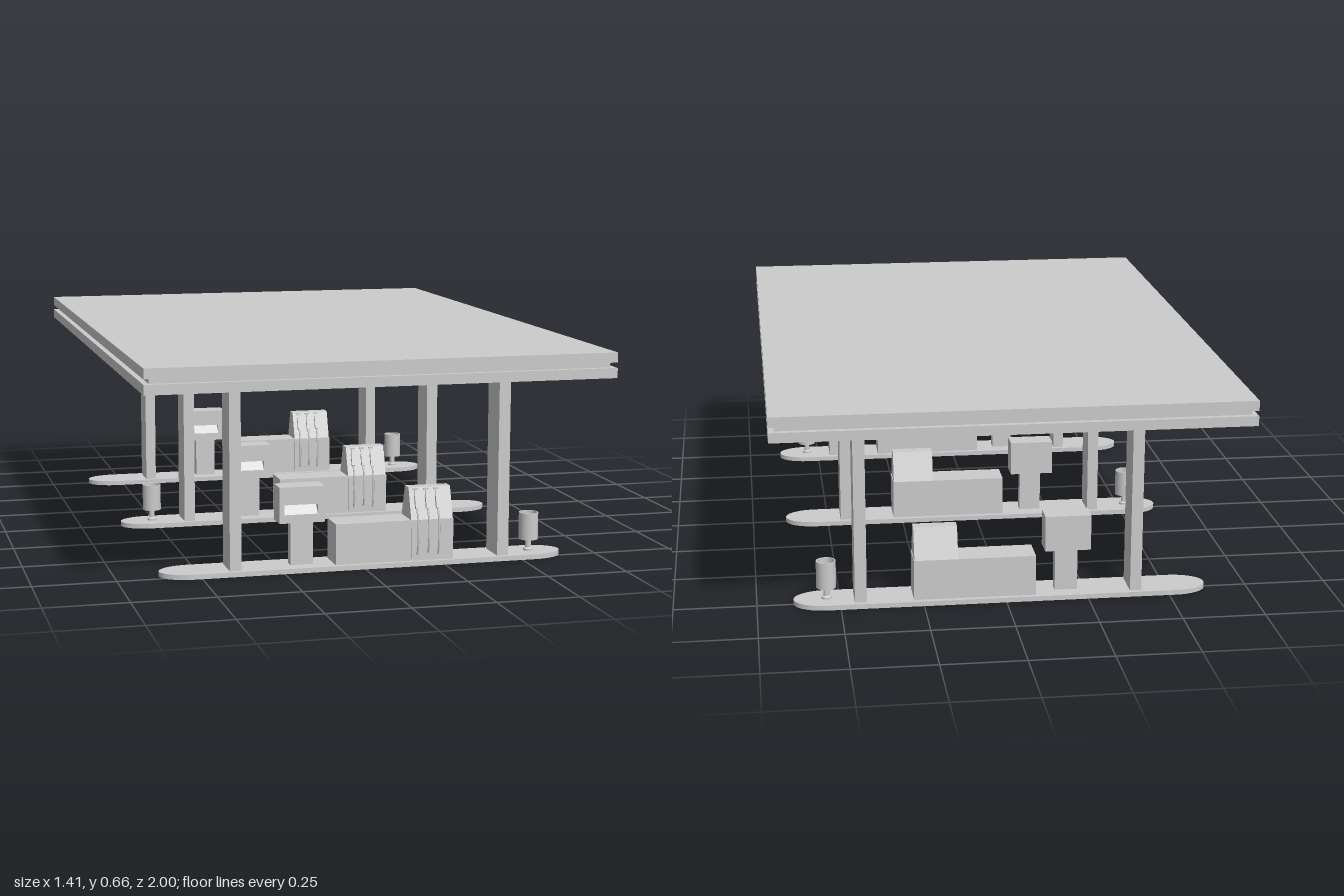
import * as THREE from 'three';

const mat = new THREE.MeshStandardMaterial({ color: 0xcccccc });
const matOpen = new THREE.MeshStandardMaterial({ color: 0xcccccc, side: THREE.DoubleSide });

function add(parent, name, geometry, x = 0, y = 0, z = 0, material = mat) {
  const mesh = new THREE.Mesh(geometry, material);
  mesh.name = name;
  mesh.position.set(x, y, z);
  parent.add(mesh);
  return mesh;
}

// Box given by its limits in x and y, and its depth about z
function block(parent, name, x0, x1, y0, y1, depth, z = 0) {
  return add(parent, name, new THREE.BoxGeometry(x1 - x0, y1 - y0, depth), (x0 + x1) / 2, (y0 + y1) / 2, z);
}

// Outline in (z, y) extruded along x from x0 to x1
function sideProfile(parent, name, points, x0, x1) {
  const shape = new THREE.Shape(points.map(([z, y]) => new THREE.Vector2(-z, y)));
  const geo = new THREE.ExtrudeGeometry(shape, { depth: x1 - x0, bevelEnabled: false });
  geo.rotateY(Math.PI / 2);
  return add(parent, name, geo, x0, 0, 0);
}

const BASE = 0.015;

// Long kerb with rounded ends
function kerb(parent) {
  const s = new THREE.Shape();
  s.moveTo(-0.52, -0.065);
  s.lineTo(0.54, -0.065);
  s.absellipse(0.54, 0, 0.1, 0.065, -Math.PI / 2, Math.PI / 2, false);
  s.lineTo(-0.52, 0.065);
  s.absellipse(-0.52, 0, 0.1, 0.065, Math.PI / 2, Math.PI * 1.5, false);
  const geo = new THREE.ExtrudeGeometry(s, { depth: BASE, bevelEnabled: false, curveSegments: 16 });
  geo.rotateX(-Math.PI / 2);
  add(parent, 'kerb', geo);
}

// Pump cabinet with tapered head, nozzles and hoses on the front
function pump(parent) {
  const g = new THREE.Group();
  g.name = 'pump';
  parent.add(g);
  block(g, 'lowCabinet', -0.09, 0.28, BASE, 0.14, 0.1);
  sideProfile(g, 'pumpHead', [[0.05, 0.14], [0.018, 0.235], [-0.018, 0.235], [-0.05, 0.14]], 0.146, 0.278);
  block(g, 'cabinetSeam', 0.146, 0.151, 0.022, 0.132, 0.006, 0.051);
  const tilt = -Math.atan2(0.032, 0.095);
  [0.166, 0.2, 0.232].forEach((x, i) => {
    block(g, 'nozzleHook', x - 0.008, x + 0.008, 0.227, 0.232, 0.008, 0.021);
    const nozzle = block(g, 'nozzle', x - 0.005, x + 0.005, 0.172, 0.212, 0.012, 0.036);
    nozzle.rotation.x = tilt;
    const spout = block(g, 'nozzleSpout', x - 0.003, x + 0.003, 0.205, 0.226, 0.006, 0.027);
    spout.rotation.x = tilt;
    const low = 0.032 + (i % 2) * 0.006;
    const path = new THREE.CatmullRomCurve3([
      [x, 0.178, 0.041], [x, 0.145, 0.056], [x, 0.1, 0.06], [x, 0.06, 0.058], [x, low, 0.05],
    ].map((p) => new THREE.Vector3(...p)));
    add(g, 'hose', new THREE.TubeGeometry(path, 16, 0.003, 6));
  });
}

// Pay kiosk: post, head with a sloping recess in the front
function kiosk(parent) {
  const g = new THREE.Group();
  g.name = 'payKiosk';
  parent.add(g);
  block(g, 'kioskPost', -0.222, -0.153, BASE, 0.147, 0.035);
  block(g, 'kioskHead', -0.26, -0.12, 0.147, 0.257, 0.045, -0.0125);
  const face = new THREE.Shape();
  face.moveTo(-0.26, 0.147);
  face.lineTo(-0.12, 0.147);
  face.lineTo(-0.12, 0.257);
  face.lineTo(-0.26, 0.257);
  const hole = new THREE.Path();
  hole.moveTo(-0.245, 0.173);
  hole.lineTo(-0.245, 0.203);
  hole.lineTo(-0.142, 0.203);
  hole.lineTo(-0.142, 0.173);
  face.holes.push(hole);
  add(g, 'kioskFace', new THREE.ExtrudeGeometry(face, { depth: 0.025, bevelEnabled: false }), 0, 0, 0.01);
  sideProfile(g, 'recessSlope', [[0.035, 0.173], [0.01, 0.203], [0.01, 0.173]], -0.245, -0.142);
}

// Open litter bin on a small foot
function bin(parent, x) {
  const profile = [
    [0, 0], [0.015, 0], [0.015, 0.006], [0.009, 0.01], [0.009, 0.036], [0.03, 0.036],
    [0.03, 0.12], [0.026, 0.12], [0.026, 0.045], [0, 0.045],
  ];
  // doubled corners keep the edges crisp
  const pts = profile.flatMap(([r, y]) => [new THREE.Vector2(r, y), new THREE.Vector2(r, y)]);
  const g = new THREE.Group();
  g.name = 'litterBin';
  g.position.set(x, BASE, 0);
  parent.add(g);
  for (let i = 1; i < pts.length - 1; i += 2) {
    add(g, 'binSurface', new THREE.LatheGeometry([pts[i], pts[i + 1]], 20), 0, 0, 0, matOpen);
  }
}

export function createModel() {
  const model = new THREE.Group();
  model.name = 'fuelStation';

  // Roof: two slabs with a recessed band between
  block(model, 'roofLowerSlab', -0.705, 0.705, 0.587, 0.617, 2);
  block(model, 'roofBand', -0.688, 0.688, 0.617, 0.633, 1.966);
  block(model, 'roofUpperSlab', -0.705, 0.705, 0.633, 0.663, 2);

  // Three islands, the middle bin at the opposite end
  [[0.72, 0.541], [0.003, -0.516], [-0.747, 0.541]].forEach(([z, binX]) => {
    const island = new THREE.Group();
    island.name = 'island';
    island.position.z = z;
    model.add(island);
    kerb(island);
    block(island, 'column', -0.415, -0.38, BASE, 0.587, 0.1);
    block(island, 'column', 0.422, 0.458, BASE, 0.587, 0.1);
    pump(island);
    kiosk(island);
    bin(island, binX);
  });
  return model;
}
